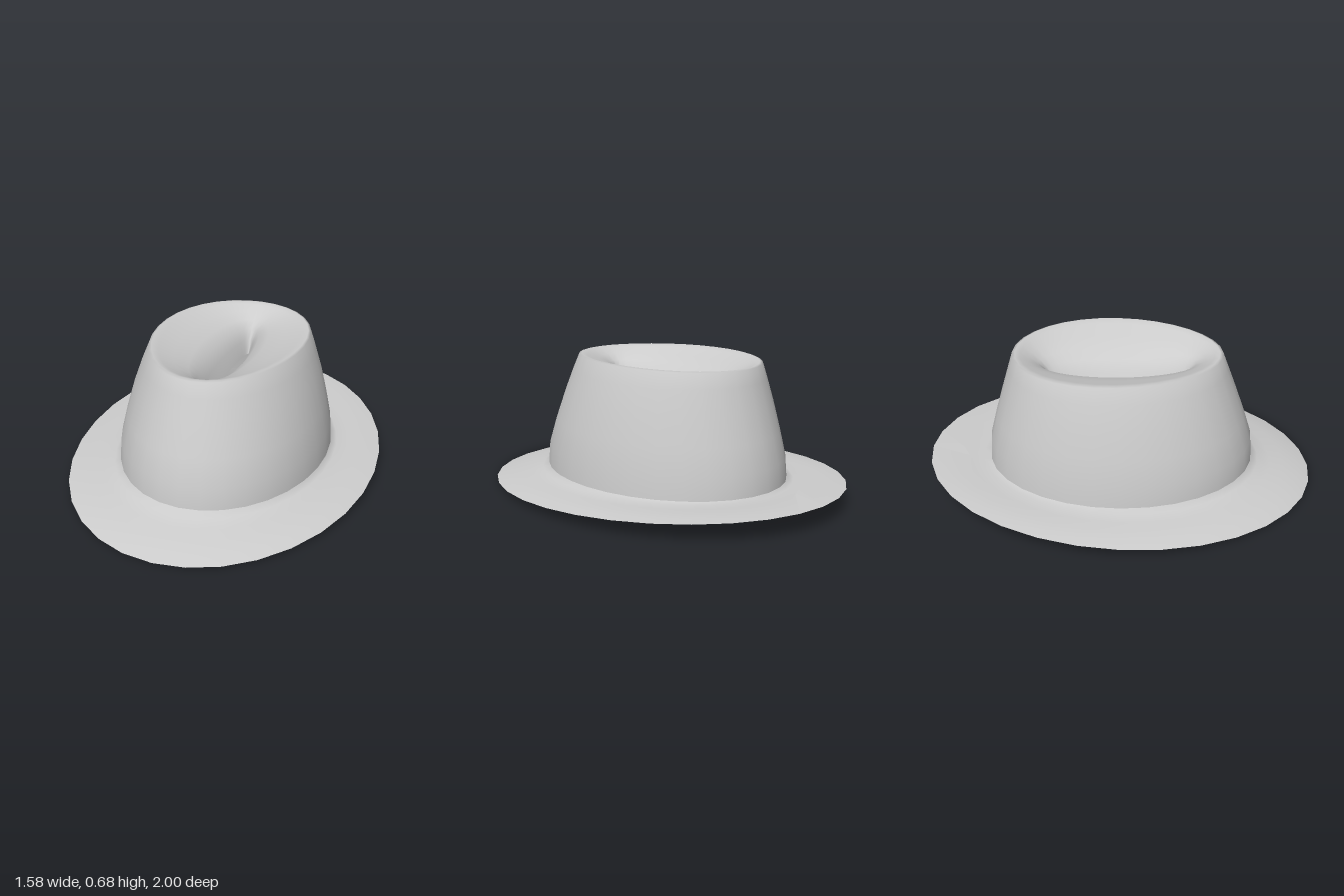
import * as THREE from 'three';

const SEGMENTS = 32;

// Skins a stack of closed oval rings.
// Ring: rx, rz, y, zc = centre offset, tilt = y lost per unit of z, egg = narrowing to the front, sag = lift of the sides
function loftRings(rings) {
  const positions = [];
  const index = [];
  rings.forEach(({ rx, rz, y, zc = 0, tilt = 0, egg = 0, sag = 0 }, i) => {
    for (let j = 0; j < SEGMENTS; j++) {
      const a = (j / SEGMENTS) * Math.PI * 2;
      const s = Math.sin(a);
      const c = Math.cos(a);
      const z = zc + rz * c;
      positions.push(rx * s * (1 - egg * c), y - tilt * z + sag * s * s, z);
      if (i < rings.length - 1) {
        const p = i * SEGMENTS + j;
        const q = i * SEGMENTS + ((j + 1) % SEGMENTS);
        index.push(p, q, q + SEGMENTS, p, q + SEGMENTS, p + SEGMENTS);
      }
    }
  });
  const geometry = new THREE.BufferGeometry();
  geometry.setAttribute('position', new THREE.Float32BufferAttribute(positions, 3));
  geometry.setIndex(index);
  geometry.computeVertexNormals();
  return geometry;
}

export function createModel() {
  const hat = new THREE.Group();
  hat.name = 'hat';
  const felt = new THREE.MeshStandardMaterial({ color: 0xcccccc, side: THREE.DoubleSide });
  felt.name = 'grey felt';

  const add = (name, geometry) => {
    const mesh = new THREE.Mesh(geometry, felt);
    mesh.name = name;
    hat.add(mesh);
  };

  // Brim, tilted down to the front, turning up into a short collar inside the crown
  add('brim', loftRings([
    { rx: 0.79, rz: 1.0, y: 0.053, tilt: 0.052 },
    { rx: 0.74, rz: 0.94, y: 0.064, tilt: 0.045 },
    { rx: 0.68, rz: 0.86, y: 0.074, tilt: 0.036 },
    { rx: 0.62, rz: 0.79, y: 0.078, tilt: 0.026 },
    { rx: 0.565, rz: 0.725, y: 0.085, tilt: 0.014 },
    { rx: 0.53, rz: 0.682, y: 0.1 },
    { rx: 0.522, rz: 0.674, y: 0.14 },
    { rx: 0.515, rz: 0.665, y: 0.2 },
  ]));

  // Crown wall up to the rim, then down into the open crease
  add('crown', loftRings([
    { rx: 0.535, rz: 0.69, y: 0.092 },
    { rx: 0.526, rz: 0.68, y: 0.21 },
    { rx: 0.498, rz: 0.642, y: 0.34, zc: -0.004, egg: 0.01 },
    { rx: 0.462, rz: 0.596, y: 0.48, zc: -0.009, egg: 0.03 },
    { rx: 0.422, rz: 0.555, y: 0.6, zc: -0.014, egg: 0.05 },
    { rx: 0.39, rz: 0.53, y: 0.672, zc: -0.017, egg: 0.07, sag: 0.008 },
    { rx: 0.378, rz: 0.515, y: 0.676, zc: -0.018, egg: 0.07, sag: 0.009 },
    { rx: 0.34, rz: 0.49, y: 0.667, zc: -0.018, egg: 0.07, sag: 0.005 },
    { rx: 0.25, rz: 0.445, y: 0.642, zc: -0.02, egg: 0.05 },
    { rx: 0.16, rz: 0.4, y: 0.612, zc: -0.02, egg: 0.04 },
    { rx: 0.1, rz: 0.37, y: 0.577, zc: -0.015 },
    { rx: 0.06, rz: 0.345, y: 0.52, zc: -0.008 },
    { rx: 0.025, rz: 0.325, y: 0.45 },
  ]));

  // Flat overlapping seam at the back of the brim
  const seam = new THREE.BufferGeometry();
  seam.setAttribute('position', new THREE.Float32BufferAttribute([
    0, 0.107, -1, -0.1, 0.116, -0.79, -0.02, 0.116, -0.83, 0.15, 0.107, -0.98,
  ], 3));
  seam.setIndex([0, 1, 2, 0, 2, 3]);
  seam.computeVertexNormals();
  add('brimSeam', seam);

  return hat;
}
